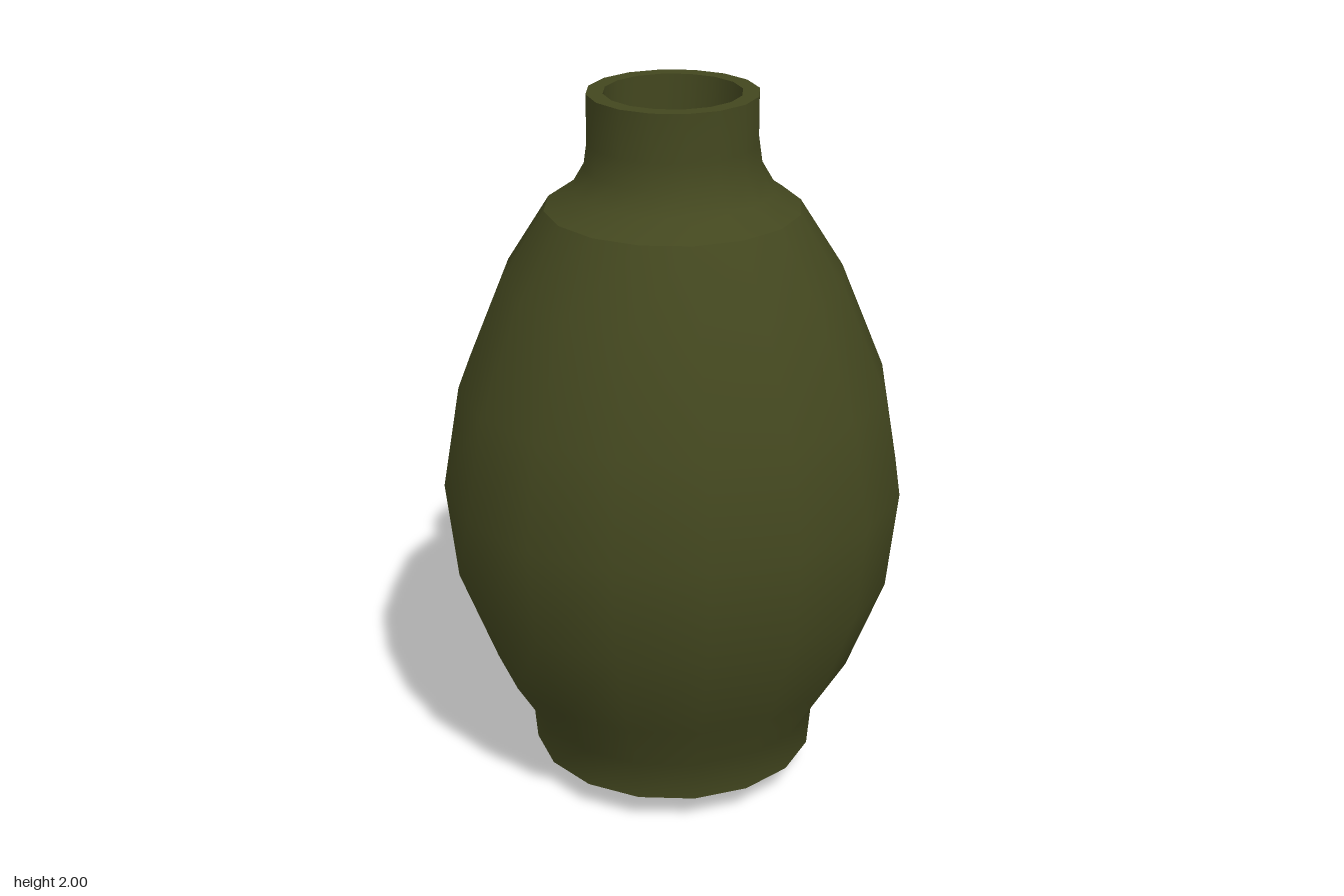
import * as THREE from 'three';

const SIDES = 16;
const material = new THREE.MeshStandardMaterial({ color: 0x43471f, roughness: 0.9 });

// Point on a ring; the angle runs from +x towards the back (-z)
const polar = (r, y, degrees) => {
  const a = THREE.MathUtils.degToRad(degrees);
  return [r * Math.cos(a), y, -r * Math.sin(a)];
};

// Ring of 16 points; the rule may return [r, y, angle] for each index
const ring = (rule) => Array.from({ length: SIDES }, (_, j) => {
  const [r, y, angle = (j * 360) / SIDES] = rule(j);
  return polar(r, y, angle);
});
const round = ([r, y]) => ring(() => [r, y]);

// Skin a stack of rings, smooth or faceted
function loft(name, rings, flat = false) {
  const index = [];
  for (let i = 0; i < rings.length - 1; i++) {
    for (let j = 0; j < SIDES; j++) {
      const k = (j + 1) % SIDES;
      const a = i * SIDES + j, b = i * SIDES + k;
      index.push(a, b, b + SIDES, a, b + SIDES, a + SIDES);
    }
  }
  let geometry = new THREE.BufferGeometry();
  geometry.setAttribute('position', new THREE.Float32BufferAttribute(rings.flat(2), 3));
  geometry.setIndex(index);
  if (flat) geometry = geometry.toNonIndexed();
  geometry.computeVertexNormals();
  const mesh = new THREE.Mesh(geometry, material);
  mesh.name = name;
  return mesh;
}

export function createModel() {
  const group = new THREE.Group();
  group.name = 'vase';

  // The foot is missing at the back left corner (ring points 1 to 4)
  const broken = (j) => j >= 1 && j <= 4;
  const footRing = round([0.4, 0.085]);
  const waist = ring((j) => [broken(j) ? 0.46 : j === 0 ? 0.44 : 0.41, 0.2]);

  // Foot, belly and shoulder
  group.add(loft('body', [
    footRing,
    waist,
    ...[[0.507, 0.36], [0.61, 0.63], [0.64, 0.91], [0.59, 1.2], [0.467, 1.5], [0.347, 1.69]].map(round),
  ]));

  // Flared neck
  group.add(loft('neck', [[0.347, 1.69], [0.275, 1.74], [0.24, 1.8], [0.23, 1.87], [0.23, 2]].map(round)));

  // Flat lip and the inside of the mouth
  group.add(loft('lip', [[0.23, 2], [0.185, 2]].map(round)));
  group.add(loft('mouthWall', [[0.185, 2], [0.185, 1.72]].map(round)));
  group.add(loft('mouthFloor', [[0.185, 1.72], [0.001, 1.72]].map(round)));

  // Underside, sloping down to the rounded broken corner
  const base = ring((j) => (broken(j) ? [0.343, 0, 20 + (j - 1) * 26.7] : [0.395, 0.084]));
  const centre = ring(() => [0.001, 0.033]);
  group.add(loft('underside', [centre, base, footRing], true));

  return group;
}
